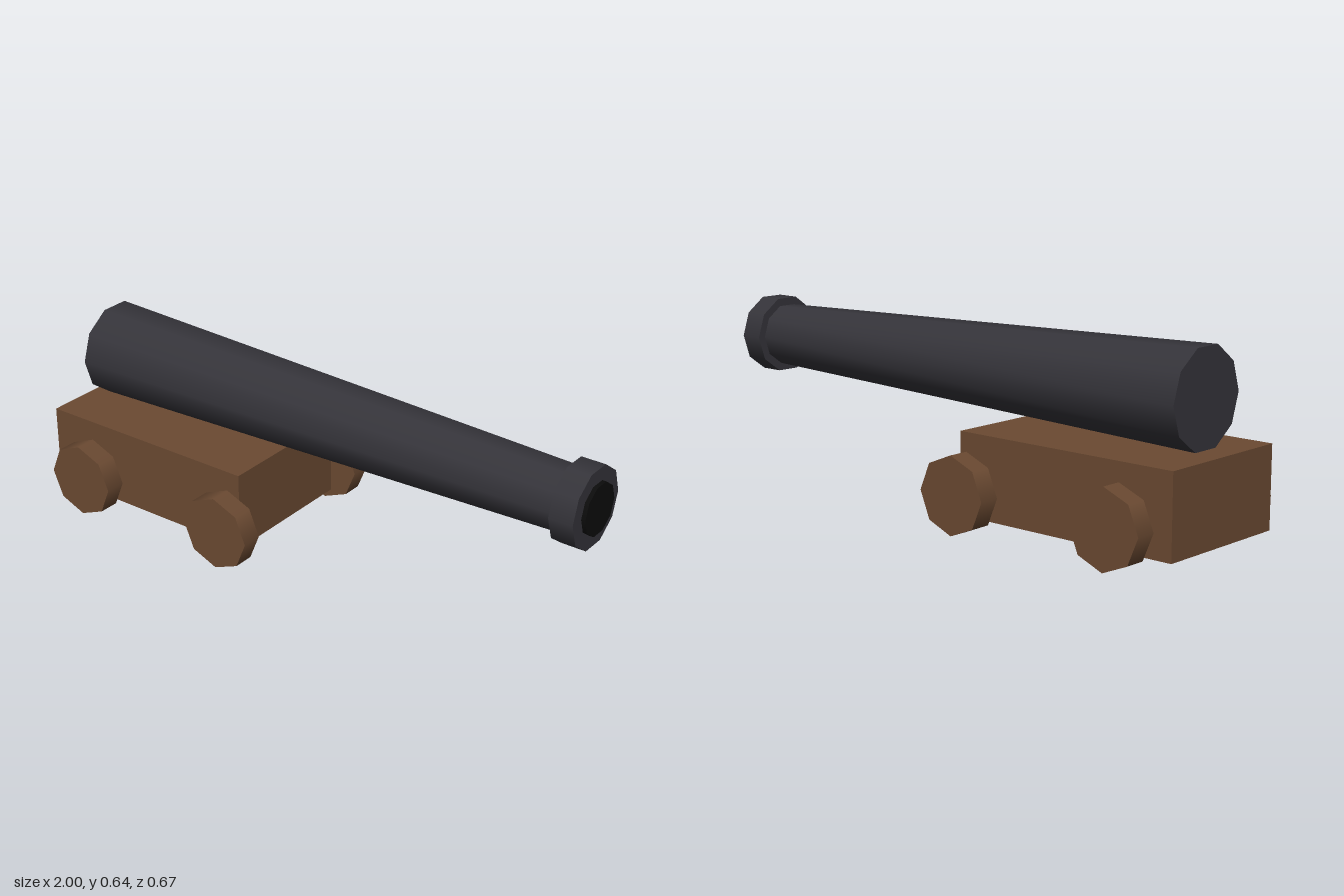
import * as THREE from 'three';

export function createModel() {
  const model = new THREE.Group();
  model.name = 'cannon';

  const material = (name, color) => {
    const m = new THREE.MeshStandardMaterial({ color });
    m.name = name;
    return m;
  };
  const wood = material('brown wood', 0x6b4a32);
  const iron = material('dark iron', 0x35343a);
  const black = material('bore black', 0x0c0c0c);

  const add = (name, geometry, mat, x, y, z) => {
    const mesh = new THREE.Mesh(geometry, mat);
    mesh.name = name;
    mesh.position.set(x, y, z);
    model.add(mesh);
  };

  // Ten-sided tube section lying along x, from x0 to x1
  const barrelY = 0.482;
  const section = (name, mat, x0, x1, r0, r1) => {
    const geometry = new THREE.CylinderGeometry(r1, r0, x1 - x0, 10);
    geometry.rotateZ(-Math.PI / 2);
    add(name, geometry, mat, (x0 + x1) / 2, barrelY, 0);
  };
  section('barrel', iron, -0.932, 0.945, 0.164, 0.107);
  section('muzzleRing', iron, 0.903, 0.986, 0.136, 0.136);
  section('bore', black, 0.93, 1.0, 0.087, 0.087);

  // Carriage block
  add('carriage', new THREE.BoxGeometry(0.82, 0.272, 0.502), wood, -0.59, 0.181, 0);

  // Four octagonal wheels standing on a corner
  const wheel = new THREE.CylinderGeometry(0.129, 0.129, 0.072, 8);
  wheel.rotateX(Math.PI / 2);
  for (const [end, x] of [['rear', -0.817], ['front', -0.217]]) {
    for (const [side, z] of [['Near', 0.301], ['Far', -0.301]]) {
      add(`${end}${side}Wheel`, wheel, wood, x, 0.129, z);
    }
  }

  return model;
}
